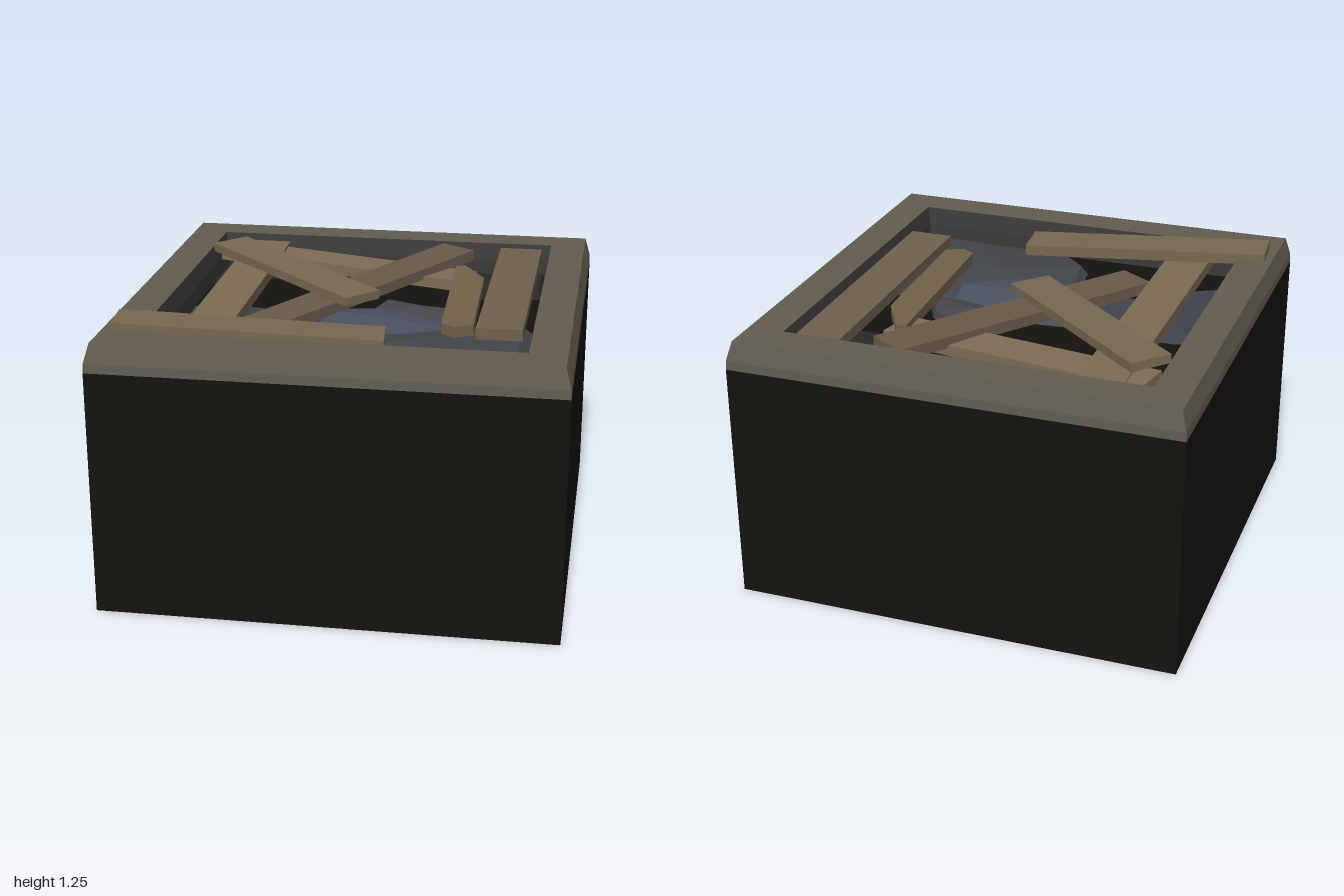
import * as THREE from 'three';

const FLOOR = 1.05;
const mat = (color, side = THREE.FrontSide) =>
  new THREE.MeshStandardMaterial({ color, side, flatShading: true });

function add(parent, name, geometry, material) {
  const mesh = new THREE.Mesh(geometry, material);
  mesh.name = name;
  parent.add(mesh);
  return mesh;
}

// Square solid of revolution: profile given as [half width, y]
function squareLathe(profile) {
  const pts = profile.map(([w, y]) => new THREE.Vector2(w * Math.SQRT2, y));
  return new THREE.LatheGeometry(pts, 4).rotateY(Math.PI / 4);
}

// Plank between the centres of its two ends, measured on its top face
function plank(parent, name, a, b, width, thickness, color) {
  const start = new THREE.Vector3(...a), end = new THREE.Vector3(...b);
  const dir = end.clone().sub(start);
  const length = dir.length();
  dir.normalize();
  const side = new THREE.Vector3(0, 1, 0).cross(dir).normalize();
  const up = dir.clone().cross(side);
  const geo = new THREE.BoxGeometry(width, thickness, length).translate(0, -thickness / 2, 0);
  const mid = start.add(end).multiplyScalar(0.5);
  geo.applyMatrix4(new THREE.Matrix4().makeBasis(side, up, dir).setPosition(mid));
  add(parent, name, geo, mat(color));
}

// Faceted rock: outline on the floor, a raised inner ring and a peak
function rock(parent, name, outline, height, color) {
  const n = outline.length;
  const cx = outline.reduce((s, p) => s + p[0], 0) / n;
  const cz = outline.reduce((s, p) => s + p[1], 0) / n;
  const low = outline.map(([x, z]) => [x, FLOOR - 0.01, z]);
  const ring = outline.map(([x, z], i) => [
    cx + (x - cx) * 0.9, FLOOR + height * (0.55 + 0.2 * Math.sin(i * 2.3)), cz + (z - cz) * 0.9]);
  const peak = [cx, FLOOR + height, cz];
  const pos = [];
  for (let i = 0; i < n; i++) {
    const j = (i + 1) % n;
    pos.push(...low[i], ...low[j], ...ring[j], ...low[i], ...ring[j], ...ring[i]);
    pos.push(...ring[i], ...ring[j], ...peak);
  }
  const geo = new THREE.BufferGeometry();
  geo.setAttribute('position', new THREE.Float32BufferAttribute(pos, 3));
  geo.computeVertexNormals();
  add(parent, name, geo, mat(color, THREE.DoubleSide));
}

export function createModel() {
  const model = new THREE.Group();
  model.name = 'boardedPit';

  // Dark block with the pit floor as its recessed top
  add(model, 'block', squareLathe([[0, 0], [1, 0], [1, 1.09]]), mat(0x15130f));
  const floor = new THREE.PlaneGeometry(1.64, 1.64).rotateX(-Math.PI / 2).translate(0, FLOOR, 0);
  add(model, 'pitFloor', floor, mat(0x14120f));

  // Stone rim with bevelled outer edge
  add(model, 'rim', squareLathe([[1, 1.09], [0.998, 1.13], [0.975, 1.215], [0.815, 1.215]]), mat(0x625c50));
  add(model, 'rimInnerWall', squareLathe([[0.815, 1.215], [0.8, 1.13], [0.8, FLOOR - 0.01]]), mat(0x3c3b3a));

  // Rubble in the pit
  const rubble = new THREE.Group();
  rubble.name = 'rubble';
  model.add(rubble);
  rock(rubble, 'leftRock', [[-0.8, -0.02], [-0.7, -0.05], [-0.3, -0.05], [-0.1, 0.1], [-0.15, 0.35],
    [-0.4, 0.35], [-0.68, 0.5], [-0.78, 0.6], [-0.8, 0.4]], 0.06, 0x3e424b);
  rock(rubble, 'centreRock', [[-0.3, -0.02], [0.1, -0.05], [0.4, 0], [0.42, 0.2], [0.1, 0.42],
    [-0.15, 0.32]], 0.075, 0x4a5160);
  rock(rubble, 'frontRock', [[-0.14, 0.35], [0.1, 0.25], [0.4, 0.06], [0.8, 0.07], [0.8, 0.8],
    [0.05, 0.8], [-0.1, 0.62]], 0.06, 0x42454a);
  rock(rubble, 'backRock', [[0.02, -0.05], [0.08, -0.22], [0.25, -0.22], [0.42, -0.12], [0.5, 0.05],
    [0.2, 0.1]], 0.06, 0x48454b);
  rock(rubble, 'backLeftCornerRock', [[0.5, -0.4], [0.3, -0.55], [0.35, -0.8], [0.8, -0.8], [0.8, -0.45],
    [0.68, -0.38]], 0.05, 0x2a2928);
  rock(rubble, 'backRightCornerRock', [[-0.8, -0.8], [-0.3, -0.8], [-0.5, -0.6], [-0.68, -0.45],
    [-0.8, -0.43]], 0.05, 0x2a2928);

  // Loose planks laid across the opening
  const planks = new THREE.Group();
  planks.name = 'planks';
  model.add(planks);
  const T = 0.05;
  plank(planks, 'backPlank', [-0.77, 1.185, -0.69], [0.46, 1.15, -0.44], 0.19, T, 0x7d6d57);
  plank(planks, 'rightPlank', [-0.58, 1.19, -0.78], [-0.58, 1.18, 0.81], 0.2, T, 0x7b6b53);
  plank(planks, 'longDiagonalPlank', [0.365, 1.205, -0.76], [-0.395, 1.155, 0.42], 0.19, T, 0x695a4a);
  plank(planks, 'upperDiagonalPlank', [-0.745, 1.235, -0.605], [0.025, 1.207, 0.1], 0.195, 0.04, 0x766951);
  plank(planks, 'leftPlank', [0.67, 1.2, -0.79], [0.67, 1.205, 0.5], 0.2, T, 0x706150);
  plank(planks, 'frontPlank', [-0.935, 1.255, 0.725], [0.2, 1.198, 0.615], 0.195, T, 0x766951);

  // Broken splinter with tapered ends
  const outline = [[0.38, -0.5], [0.42, -0.53], [0.53, -0.33], [0.55, 0.38], [0.47, 0.42], [0.41, 0.38]];
  const shape = new THREE.Shape(outline.map(([x, z]) => new THREE.Vector2(x, -z)));
  const splinter = new THREE.ExtrudeGeometry(shape, { depth: T, bevelEnabled: false });
  splinter.rotateX(-Math.PI / 2).translate(0, 1.13, 0);
  add(planks, 'splinter', splinter, mat(0x726249));

  return model;
}
